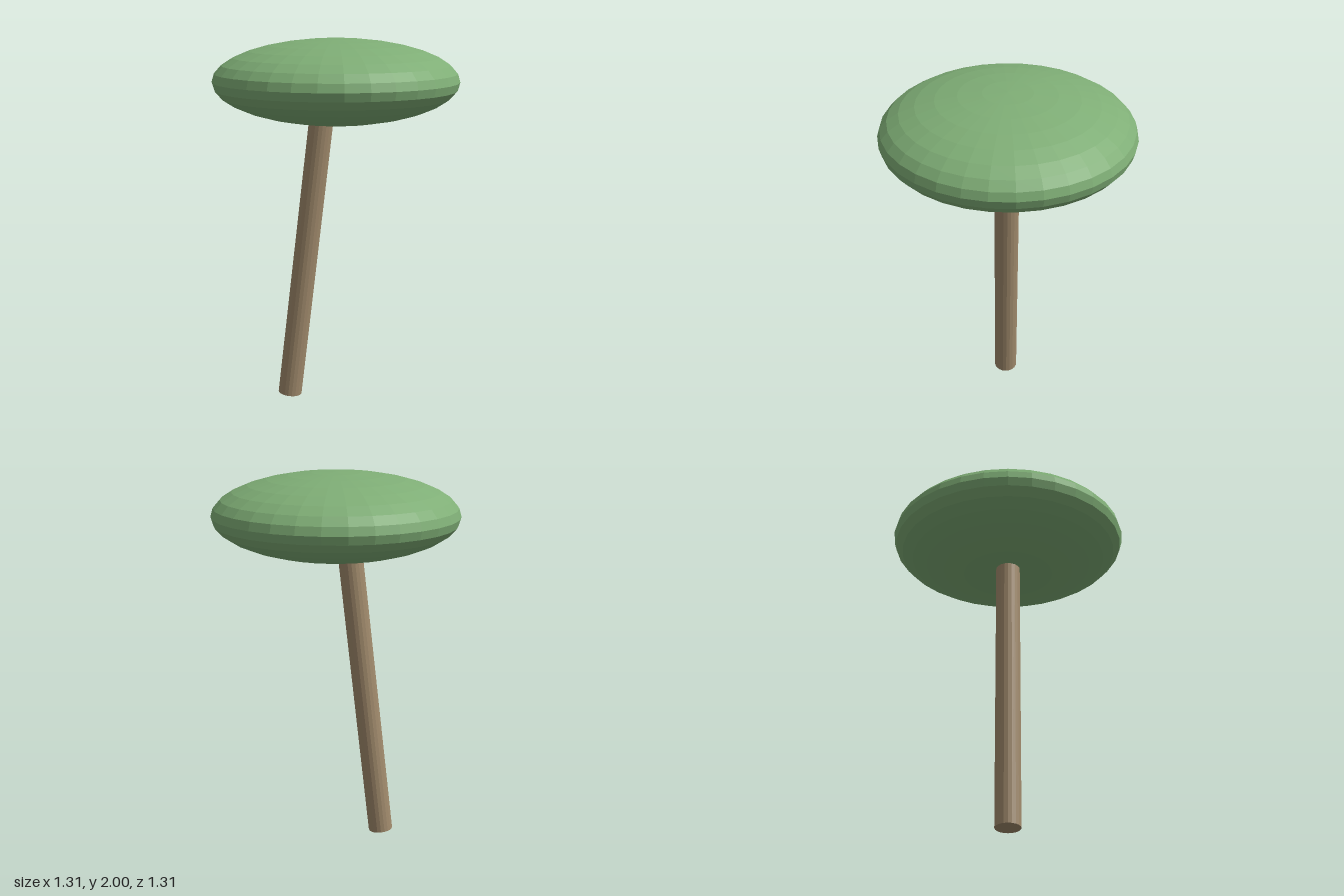
import * as THREE from 'three';

export function createModel() {
  const leaf = new THREE.MeshStandardMaterial({ color: 0x7fae76, flatShading: true });
  leaf.name = 'leafGreen';
  const bark = new THREE.MeshStandardMaterial({ color: 0xa08a6c, flatShading: true });
  bark.name = 'barkBrown';

  const tree = new THREE.Group();
  tree.name = 'tree';

  // Flattened, faceted canopy
  const canopy = new THREE.Mesh(new THREE.SphereGeometry(0.655, 32, 16), leaf);
  canopy.name = 'canopy';
  canopy.scale.y = 0.225 / 0.655;
  canopy.position.y = 1.775;
  tree.add(canopy);

  // Leaning trunk, pivoted at the centre of its foot and ending inside the canopy
  const radius = 0.066, length = 1.7, lean = 0.118;
  const trunkGeometry = new THREE.CylinderGeometry(radius, radius, length, 20);
  trunkGeometry.translate(0, length / 2, 0);
  const trunk = new THREE.Mesh(trunkGeometry, bark);
  trunk.name = 'trunk';
  trunk.rotation.z = -lean;
  trunk.position.set(-0.264, radius * Math.sin(lean), 0);
  tree.add(trunk);

  return tree;
}
